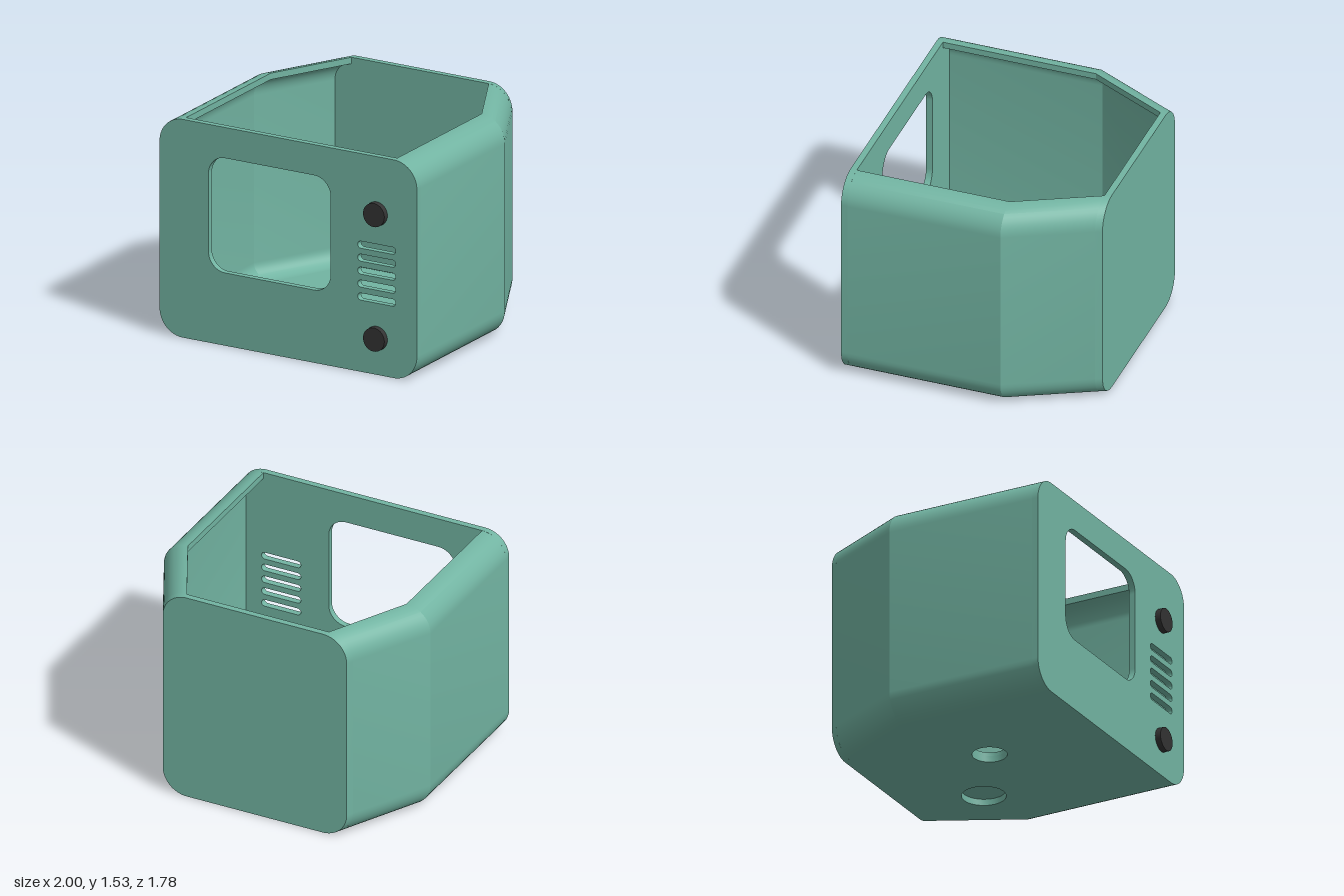
import * as THREE from 'three';
import { toCreasedNormals } from 'three/addons/utils/BufferGeometryUtils.js';

const H = 1.53, R = 0.18, T = 0.045, FLOOR = 0.07, RECESS = 0.045;
const FRONT = 0.85, KINK = -0.28, BACK = -0.89;
const CREASE = 0.3;

// half-width of the case at depth z: straight, then tapering to the back
const halfWidth = z => z >= KINK ? 1 : 1 - 0.31 * (KINK - z) / (KINK - BACK);

function roundedRect(path, x0, y0, x1, y1, r) {
  path.moveTo(x0 + r, y0);
  path.lineTo(x1 - r, y0);
  path.absarc(x1 - r, y0 + r, r, -Math.PI / 2, 0, false);
  path.lineTo(x1, y1 - r);
  path.absarc(x1 - r, y1 - r, r, 0, Math.PI / 2, false);
  path.lineTo(x0 + r, y1);
  path.absarc(x0 + r, y1 - r, r, Math.PI / 2, Math.PI, false);
  path.lineTo(x0, y0 + r);
  path.absarc(x0 + r, y0 + r, r, Math.PI, Math.PI * 1.5, false);
  return path;
}

function extrude(shape, depth) {
  return new THREE.ExtrudeGeometry(shape, { depth, bevelEnabled: false, curveSegments: 12 });
}

// wall section at depth z: outer skin up, over the rim, inner skin down
function wallSection(z) {
  const w = halfWidth(z), f = w - R, ri = R - 0.05, n = 10, pts = [];
  const arc = (cy, rx, ry, a0, a1) => {
    for (let i = 0; i <= n; i++) {
      const a = a0 + (a1 - a0) * i / n;
      pts.push([f + rx * Math.cos(a), cy + ry * Math.sin(a)]);
    }
  };
  const q = Math.PI / 2;
  arc(R, R, R, -q, 0);
  arc(H - R, R, R, 0, q);
  arc(H - R, ri, R - T, q, 0);
  arc(R, ri, R - FLOOR, 0, -q);
  return pts.map(([x, y]) => [x, y, z]);
}

// loft of the wall sections, mirrored by side
function wallGeometry(side) {
  const rings = [FRONT - T, KINK, BACK + T].map(wallSection);
  const pos = [];
  const tri = (a, b, c) => {
    for (const p of side > 0 ? [a, b, c] : [a, c, b]) pos.push(p[0] * side, p[1], p[2]);
  };
  for (let k = 0; k < rings.length - 1; k++) {
    const A = rings[k], B = rings[k + 1];
    for (let i = 0; i < A.length - 1; i++) {
      tri(A[i], B[i], B[i + 1]);
      tri(A[i], B[i + 1], A[i + 1]);
    }
  }
  const g = new THREE.BufferGeometry();
  g.setAttribute('position', new THREE.Float32BufferAttribute(pos, 3));
  return g;
}

// flat floor layer with round holes given as [x, z, radius]
function floorLayer(y0, y1, holes) {
  const shape = new THREE.Shape();
  const zs = [FRONT - T, KINK, BACK + T];
  const right = zs.map(z => [halfWidth(z) - R, -z]);
  const outline = [...right, ...right.map(([x, y]) => [-x, y]).reverse()];
  shape.setFromPoints(outline.map(p => new THREE.Vector2(...p)));
  for (const [x, z, r] of holes) {
    shape.holes.push(new THREE.Path().absarc(x, -z, r, 0, Math.PI * 2, true));
  }
  return extrude(shape, y1 - y0).rotateX(-Math.PI / 2).translate(0, y0, 0);
}

export function createModel() {
  const model = new THREE.Group();
  const casing = new THREE.MeshStandardMaterial({ color: 0x72b4a2 });
  casing.name = 'sea green casing';
  const dark = new THREE.MeshStandardMaterial({ color: 0x333333 });
  dark.name = 'dark knob';

  const add = (name, geometry, material = casing) => {
    const mesh = new THREE.Mesh(toCreasedNormals(geometry, CREASE), material);
    mesh.name = name;
    model.add(mesh);
    return mesh;
  };

  // front panel with screen opening and speaker slots
  const front = roundedRect(new THREE.Shape(), -1, 0, 1, H, R);
  front.holes.push(roundedRect(new THREE.Path(), -0.62, 0.51, 0.33, 1.315, 0.13));
  for (let i = 0; i < 5; i++) {
    const y = 0.527 + i * 0.091;
    front.holes.push(roundedRect(new THREE.Path(), 0.54, y - 0.025, 0.835, y + 0.025, 0.0249));
  }
  add('frontPanel', extrude(front, T).translate(0, 0, FRONT - T));

  // back panel, its inner face widened to follow the taper
  const wb = halfWidth(BACK), widen = halfWidth(BACK + T) - wb;
  const back = extrude(roundedRect(new THREE.Shape(), -wb, 0, wb, H, R), T);
  const p = back.attributes.position;
  for (let i = 0; i < p.count; i++) {
    if (p.getZ(i) > T / 2) p.setX(i, p.getX(i) + Math.sign(p.getX(i)) * widen);
  }
  add('backPanel', back.translate(0, 0, BACK));

  // side walls
  add('leftWall', wallGeometry(1));
  add('rightWall', wallGeometry(-1));

  // floor: cable hole goes through, the larger recess stops part way
  const cableHole = [-0.15, 0.01, 0.118], recess = [0.4, -0.34, 0.15];
  add('floorUnderside', floorLayer(0, RECESS, [cableHole, recess]));
  add('floorTop', floorLayer(RECESS, FLOOR, [cableHole]));

  // knobs
  for (const [name, y] of [['upperKnob', 1.13], ['lowerKnob', 0.257]]) {
    const knob = new THREE.CylinderGeometry(0.083, 0.083, 0.04, 40).rotateX(Math.PI / 2);
    add(name, knob, dark).position.set(0.688, y, FRONT + 0.02);
  }
  return model;
}
